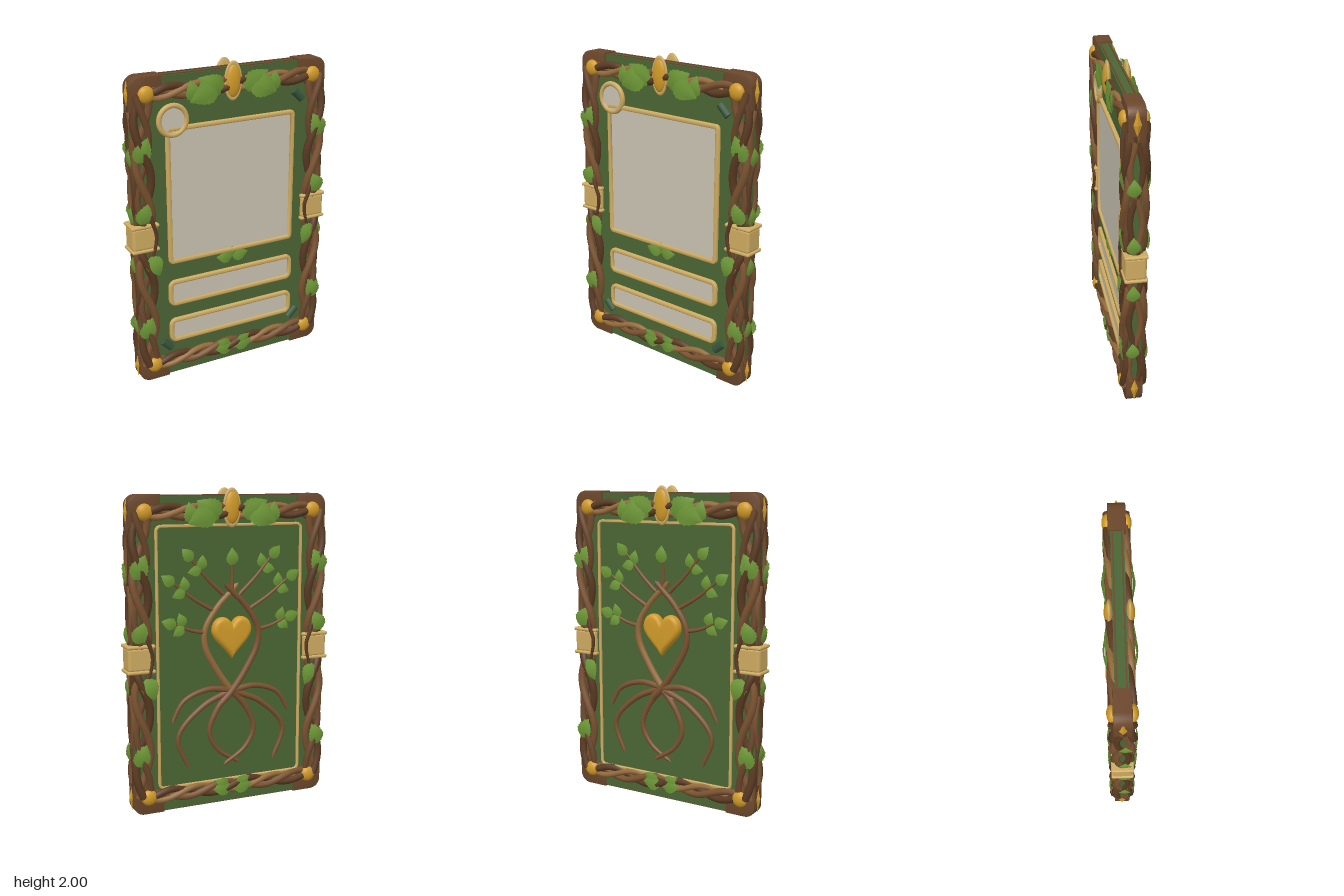
import * as THREE from 'three';
import { toCreasedNormals } from 'three/addons/utils/BufferGeometryUtils.js';
import { RoundedBoxGeometry } from 'three/addons/geometries/RoundedBoxGeometry.js';

const mat = (name, color, side = THREE.FrontSide) => {
  const m = new THREE.MeshStandardMaterial({ color, side });
  m.name = name;
  return m;
};
const M = {
  green: mat('coverGreen', 0x4a6534),
  darkGreen: mat('darkGreen', 0x36553a),
  corner: mat('cornerBrown', 0x6b472b),
  vineDark: mat('darkVine', 0x5a3a22),
  vineMid: mat('midVine', 0x7a5230),
  vineLight: mat('lightVine', 0x956b3c),
  leaf: mat('leafGreen', 0x6f9a38, THREE.DoubleSide),
  gold: mat('gold', 0xd09a28),
  pale: mat('paleGold', 0xcdaa60),
  panel: mat('panel', 0xc9c2b2),
};

const V = (x, y, z = 0) => new THREE.Vector3(x, y, z);

function add(parent, name, geo, material, x = 0, y = 0, z = 0) {
  const m = new THREE.Mesh(geo, material);
  m.name = name;
  m.position.set(x, y, z);
  parent.add(m);
  return m;
}

// Rounded rectangle centred on (cx, cy); w and h are full sizes
function roundRect(w, h, r, cx = 0, cy = 0, Type = THREE.Shape) {
  const s = new Type(), a = w / 2, b = h / 2;
  s.moveTo(cx - a + r, cy - b);
  s.lineTo(cx + a - r, cy - b);
  s.absarc(cx + a - r, cy - b + r, r, -Math.PI / 2, 0);
  s.absarc(cx + a - r, cy + b - r, r, 0, Math.PI / 2);
  s.absarc(cx - a + r, cy + b - r, r, Math.PI / 2, Math.PI);
  s.absarc(cx - a + r, cy - b + r, r, Math.PI, Math.PI * 1.5);
  return s;
}

const extrude = (shape, depth, bevel = 0, seg = 3) => toCreasedNormals(new THREE.ExtrudeGeometry(shape, {
  depth, curveSegments: 10, bevelEnabled: bevel > 0, bevelThickness: bevel, bevelSize: bevel, bevelOffset: -bevel, bevelSegments: seg,
}), 0.7);

// Vine tube whose radius thins from r0 to r1 and closes at both ends
function vine(parent, name, pts, r0, r1, material, seg = 40) {
  const curve = new THREE.CatmullRomCurve3(pts);
  const geo = new THREE.TubeGeometry(curve, seg, 1, 8);
  const p = geo.attributes.position, c = V(0, 0), v = V(0, 0);
  for (let i = 0; i < p.count; i++) {
    const ring = Math.floor(i / 9), t = ring / seg;
    const r = ring === 0 || ring === seg ? 0.001 : r0 + (r1 - r0) * t;
    curve.getPointAt(t, c);
    v.fromBufferAttribute(p, i).sub(c).multiplyScalar(r).add(c);
    p.setXYZ(i, v.x, v.y, v.z);
  }
  return add(parent, name, geo, material);
}

// Folded, toothed leaf growing from its base along +y
const leafGeo = (() => {
  const g = new THREE.PlaneGeometry(1, 1, 4, 14), p = g.attributes.position;
  for (let i = 0; i < p.count; i++) {
    const t = p.getY(i) + 0.5, u = p.getX(i) * 2, row = Math.floor(i / 5);
    const half = 0.39 * Math.sin(Math.PI * Math.pow(t, 0.7)) * (row % 2 ? 1 : 0.9);
    p.setXYZ(i, u * half, t, 0.1 * Math.sin(Math.PI * t) - 0.14 * Math.abs(u) * half);
  }
  g.computeVertexNormals();
  return g;
})();
function leaf(parent, x, y, z, size, angle) {
  const m = add(parent, 'leaf', leafGeo, M.leaf, x, y, z);
  m.scale.setScalar(size);
  m.rotation.z = angle;
}

// Raised rounded frame
function frame(parent, name, w, h, r, band, cx, cy, depth) {
  const s = roundRect(w, h, r, cx, cy);
  s.holes.push(roundRect(w - 2 * band, h - 2 * band, Math.max(r - band, 0.012), cx, cy, THREE.Path));
  add(parent, name, extrude(s, depth, band * 0.3), M.pale, 0, 0, 0.037);
}

const ellipsoid = (rx, ry, rz) => new THREE.SphereGeometry(1, 24, 16).scale(rx, ry, rz);

// Braid of strands; at(t, offset, lift) turns braid coordinates into a point
function braid(parent, name, n, turns, at, specs) {
  specs.forEach(([phase, r, material, sway]) => {
    const pts = [];
    for (let i = 0; i <= n; i++) {
      const t = i / n, a = t * turns * Math.PI * 2 + phase;
      pts.push(at(t, sway * Math.sin(a), Math.cos(a), a));
    }
    vine(parent, name, pts, r, r, material, n * 4);
  });
}

// Vines, leaves and jewels that both faces share
function faceTrim() {
  const g = new THREE.Group();
  for (const s of [-1, 1]) {
    braid(g, 'sideVine', 28, 2.5, (t, o, l) => {
      const y = 0.1 + 1.77 * t, dip = 0.03 * Math.exp(-Math.pow((y - 0.985) / 0.1, 2));
      return V(s * (0.588 + o), y, 0.047 + 0.013 * l - dip);
    }, [[0, 0.025, M.vineDark, 0.048], [2.1, 0.024, M.vineMid, 0.048], [4.2, 0.021, M.corner, 0.042]]);
    vine(g, 'claspTendril', [V(s * 0.575, 1.19, 0.06), V(s * 0.55, 1.09, 0.07), V(s * 0.525, 1, 0.066),
      V(s * 0.54, 0.9, 0.066), V(s * 0.57, 0.82, 0.06)], 0.015, 0.009, M.vineDark);
    // Side leaves
    leaf(g, s * 0.63, 1.47, 0.07, 0.16, s * 0.45);
    leaf(g, s * 0.63, 1.09, 0.072, 0.14, s * 0.45);
    leaf(g, s * 0.57, 0.87, 0.072, 0.15, s * 2.75);
    leaf(g, s * 0.63, 0.32, 0.07, 0.15, s * 0.4);
    leaf(g, s * 0.59, 0.45, 0.07, 0.11, s * 3.4);
    // Top and bottom leaves
    leaf(g, s * 0.07, 1.83, 0.068, 0.19, -s * 1.05);
    leaf(g, s * 0.11, 1.87, 0.075, 0.2, -s * 2.0);
    leaf(g, s * 0.26, 1.79, 0.07, 0.13, -s * 0.2);
    leaf(g, s * 0.01, 0.1, 0.068, 0.13, -s * 1.5);
    leaf(g, s * 0.03, 0.12, 0.07, 0.1, -s * 1.1);
    for (const y of [1.86, 0.11]) add(g, 'cornerJewel', ellipsoid(0.05, 0.05, 0.03), M.gold, s * 0.557, y, 0.055);
  }
  const along = (yc) => (t, o, l) => V(-0.53 + 1.06 * t, yc + o, 0.045 + 0.011 * l);
  const rail = [[0, 0.023, M.vineDark, 0.032], [2.1, 0.022, M.vineMid, 0.032], [4.2, 0.019, M.vineLight, 0.032]];
  braid(g, 'topVine', 20, 2, along(1.86), rail);
  braid(g, 'bottomVine', 20, 2, along(0.11), rail);
  // Crest jewel in its bezel
  add(g, 'crestBack', ellipsoid(0.056, 0.115, 0.012), M.pale, 0, 1.88, 0.052);
  const bezel = add(g, 'crestBezel', new THREE.TorusGeometry(0.052, 0.008, 8, 32), M.pale, 0, 1.88, 0.058);
  bezel.scale.set(1, 2, 1);
  add(g, 'crestJewel', ellipsoid(0.05, 0.1, 0.026), M.gold, 0, 1.88, 0.059);
  return g;
}

// Windows and front-only details
function frontFace(g) {
  const slots = [[0.88, 0.87, 0.03, 1.215], [0.89, 0.175, 0.045, 0.578], [0.89, 0.165, 0.045, 0.318]];
  for (const [w, h, r, y] of slots) {
    add(g, 'windowPanel', extrude(roundRect(w - 0.03, h - 0.03, r - 0.015, 0, y), 0.004), M.panel, 0, 0, 0.04);
    frame(g, 'windowFrame', w, h, r, 0.027, 0, y, 0.014);
  }
  const disc = add(g, 'roundPanel', new THREE.CylinderGeometry(0.09, 0.09, 0.008, 32), M.panel, -0.395, 1.69, 0.054);
  disc.rotation.x = Math.PI / 2;
  add(g, 'roundFrame', new THREE.TorusGeometry(0.088, 0.016, 10, 40), M.pale, -0.395, 1.69, 0.054);
  for (const a of [-1.45, 0, 1.45]) leaf(g, 0, 0.745, 0.05, a ? 0.115 : 0.07, a);
}

// Tree with a heart on the back
function backFace(g) {
  frame(g, 'backBorder', 0.985, 1.64, 0.04, 0.018, 0, 0.965, 0.008);
  for (const s of [-1, 1]) {
    const z = 0.055 + s * 0.006, P = (...a) => a.map(([x, y]) => V(s * x, y, z));
    vine(g, 'trunkStrand', P([-0.08, 0.66], [0, 0.74], [0.1, 0.88], [0.175, 1.03], [0.175, 1.14], [0.09, 1.28], [0, 1.37], [-0.05, 1.42]),
      0.023, 0.017, s > 0 ? M.vineMid : M.vineLight);
    const roots = [
      [[0, 0.74], [0.16, 0.76], [0.32, 0.7], [0.4, 0.57]],
      [[0, 0.74], [0.2, 0.65], [0.36, 0.47], [0.29, 0.26]],
      [[0, 0.74], [0.1, 0.62], [0.15, 0.48], [0.09, 0.36], [-0.06, 0.26]],
    ];
    for (const r of roots) vine(g, 'root', P(...r), 0.021, 0.012, M.vineMid, 24);
    const branches = [[0.04, 1.34, 0.27, 1.58], [0.11, 1.25, 0.39, 1.44], [0.17, 1.12, 0.38, 1.19]];
    for (const [x0, y0, x1, y1] of branches) {
      vine(g, 'branch', P([x0, y0], [(x0 + x1) / 2, (y0 + y1) / 2 - 0.012], [x1, y1]), 0.014, 0.007, M.vineMid, 12);
      const a = Math.atan2(x1 - x0, y1 - y0), mx = x0 + (x1 - x0) * 0.72, my = y0 + (y1 - y0) * 0.72;
      leaf(g, s * (x1 - 0.01), y1 - 0.01, 0.062, 0.1, -s * a);
      leaf(g, s * mx, my, 0.062, 0.09, -s * (a - 0.9));
      leaf(g, s * mx, my, 0.062, 0.09, -s * (a + 1));
    }
  }
  vine(g, 'topBranch', [V(0, 1.36, 0.055), V(0.005, 1.46, 0.055), V(0, 1.56, 0.055)], 0.014, 0.008, M.vineMid, 12);
  leaf(g, 0, 1.53, 0.062, 0.11, 0);
  const h = new THREE.Shape();
  h.moveTo(0, 1.165);
  h.bezierCurveTo(0.03, 1.24, 0.13, 1.22, 0.132, 1.13);
  h.bezierCurveTo(0.132, 1.07, 0.05, 1.02, 0, 0.95);
  h.bezierCurveTo(-0.05, 1.02, -0.132, 1.07, -0.132, 1.13);
  h.bezierCurveTo(-0.13, 1.22, -0.03, 1.24, 0, 1.165);
  add(g, 'heart', extrude(h, 0.012, 0.03, 6), M.gold, 0, 0, 0.045);
}

export function createModel() {
  const root = new THREE.Group();
  root.name = 'vineCard';
  // Cover board with a thin brown core showing at its rim
  add(root, 'cover', extrude(roundRect(1.29, 1.945, 0.07, 0, 0.98), 0.076), M.green, 0, 0, -0.038);
  add(root, 'coreRim', extrude(roundRect(1.3, 1.958, 0.07, 0, 0.98), 0.008), M.corner, 0, 0, 0.022);
  add(root, 'coreRim', extrude(roundRect(1.3, 1.958, 0.07, 0, 0.98), 0.008), M.corner, 0, 0, -0.03);

  // Corner caps, outlined from the card corner at the origin
  const c = new THREE.Shape();
  c.moveTo(-0.2, 0);
  c.lineTo(-0.2, -0.1);
  c.lineTo(-0.1, -0.2);
  c.lineTo(0, -0.2);
  c.lineTo(0, -0.07);
  c.absarc(-0.07, -0.07, 0.07, 0, Math.PI / 2);
  const cap = extrude(c, 0.09, 0.006, 2);
  cap.translate(0, 0, -0.045);
  [[0.655, 1.963, 0], [-0.655, 1.963, 1], [-0.655, 0, 2], [0.655, 0, 3]].forEach(([x, y, k]) => {
    add(root, 'cornerCap', cap, M.corner, x, y, 0).rotation.z = k * Math.PI / 2;
    const sx = Math.sign(x), sy = y > 1 ? 1 : -1;
    add(root, 'edgeJewel', new THREE.OctahedronGeometry(1).scale(0.018, 0.085, 0.028), M.gold, sx * 0.652, y > 1 ? 1.86 : 0.11, 0);
    if (sx > 0 || sy < 0) {
      const peg = add(root, 'cornerPeg', new THREE.CylinderGeometry(0.025, 0.025, 0.085, 12), M.darkGreen, sx * 0.465, y > 1 ? 1.74 : 0.225, 0.04);
      peg.rotation.z = sx * sy * Math.PI / 4;
    }
  });

  // Edge vines, side leaves and clasps
  for (const s of [-1, 1]) {
    braid(root, 'edgeVine', 24, 2.5, (t, o) => V(s * 0.64, 0.15 + 1.66 * t, o),
      [[0.5, 0.02, M.vineMid, 0.035], [3.6, 0.02, M.vineDark, 0.035]]);
    for (const y of [0.35, 0.76, 1.08, 1.44]) {
      const l = add(root, 'edgeLeaf', leafGeo, M.leaf, s * 0.66, y, 0.015);
      l.scale.setScalar(0.11);
      l.rotation.y = s * Math.PI / 2;
    }
    add(root, 'clasp', new RoundedBoxGeometry(0.165, 0.15, 0.125, 4, 0.02), M.pale, s * 0.592, 0.985, 0);
    for (const y of [0.908, 1.062])
      add(root, 'claspRim', new RoundedBoxGeometry(0.18, 0.022, 0.138, 3, 0.01), M.pale, s * 0.592, y, 0);
  }

  const front = faceTrim();
  front.name = 'frontFace';
  frontFace(front);
  const back = faceTrim();
  back.name = 'backFace';
  backFace(back);
  back.rotation.y = Math.PI;
  root.add(front, back);
  return root;
}
